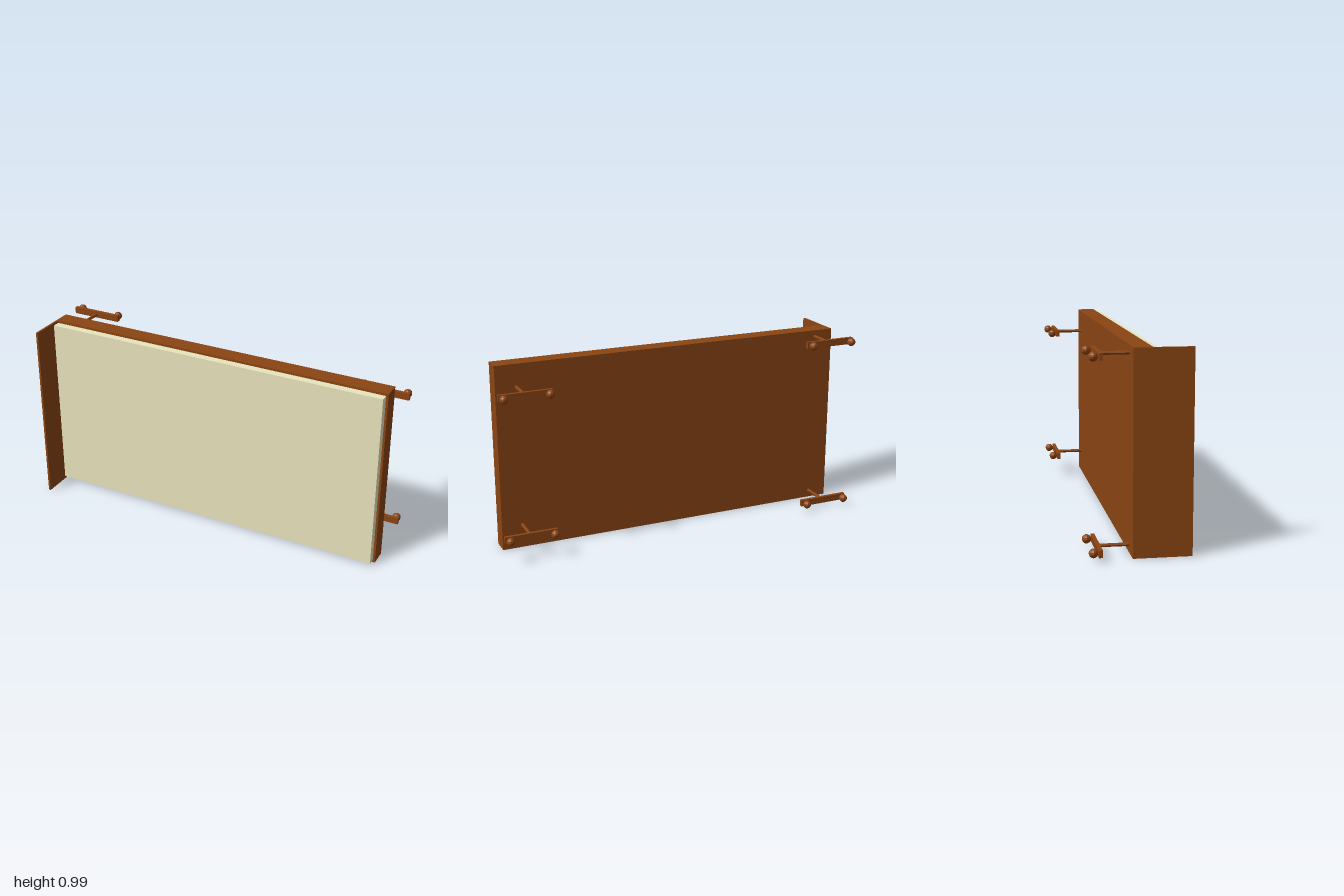
import * as THREE from 'three';

const wood = new THREE.MeshStandardMaterial({ color: 0x8b4513, flatShading: true });
const fabric = new THREE.MeshStandardMaterial({ color: 0xeae5be, flatShading: true });

// Box given by its minimum and maximum along each axis
function box(name, [x0, x1], [y0, y1], [z0, z1], material = wood) {
  const mesh = new THREE.Mesh(new THREE.BoxGeometry(x1 - x0, y1 - y0, z1 - z0), material);
  mesh.position.set((x0 + x1) / 2, (y0 + y1) / 2, (z0 + z1) / 2);
  mesh.name = name;
  return mesh;
}

// Leg: a post behind the frame, a crossbar and two ball feet
function makeLeg(name, x, y) {
  const leg = new THREE.Group();
  leg.name = name;
  leg.position.set(x, y, 0);

  const post = new THREE.Mesh(new THREE.CylinderGeometry(0.009, 0.009, 0.15, 8), wood);
  post.name = 'legPost';
  post.rotation.x = Math.PI / 2;
  post.position.z = -0.11;
  leg.add(post);

  leg.add(box('legCrossbar', [-0.14, 0.14], [-0.018, 0.018], [-0.199, -0.181]));

  for (const side of [-1, 1]) {
    const foot = new THREE.Mesh(new THREE.SphereGeometry(0.0225, 10, 8), wood);
    foot.name = 'ballFoot';
    foot.position.set(side * 0.118, 0, -0.2225);
    leg.add(foot);
  }
  return leg;
}

export function createModel() {
  const bed = new THREE.Group();
  bed.name = 'bed';

  // Frame, mattress and headboard of a bed tipped up on its side
  bed.add(box('frame', [-0.953, 0.966], [0, 0.99], [-0.035, 0.058]));
  bed.add(box('mattress', [-0.953, 0.954], [0.015, 0.977], [0.058, 0.1], fabric));
  bed.add(box('headboard', [-0.965, -0.953], [0, 0.99], [-0.035, 0.25]));

  // Legs: the pair at the headboard end is set wider apart
  bed.add(makeLeg('upperHeadLeg', -0.86, 0.955));
  bed.add(makeLeg('lowerHeadLeg', -0.86, 0.04));
  bed.add(makeLeg('upperFootLeg', 0.857, 0.87));
  bed.add(makeLeg('lowerFootLeg', 0.857, 0.125));
  return bed;
}
